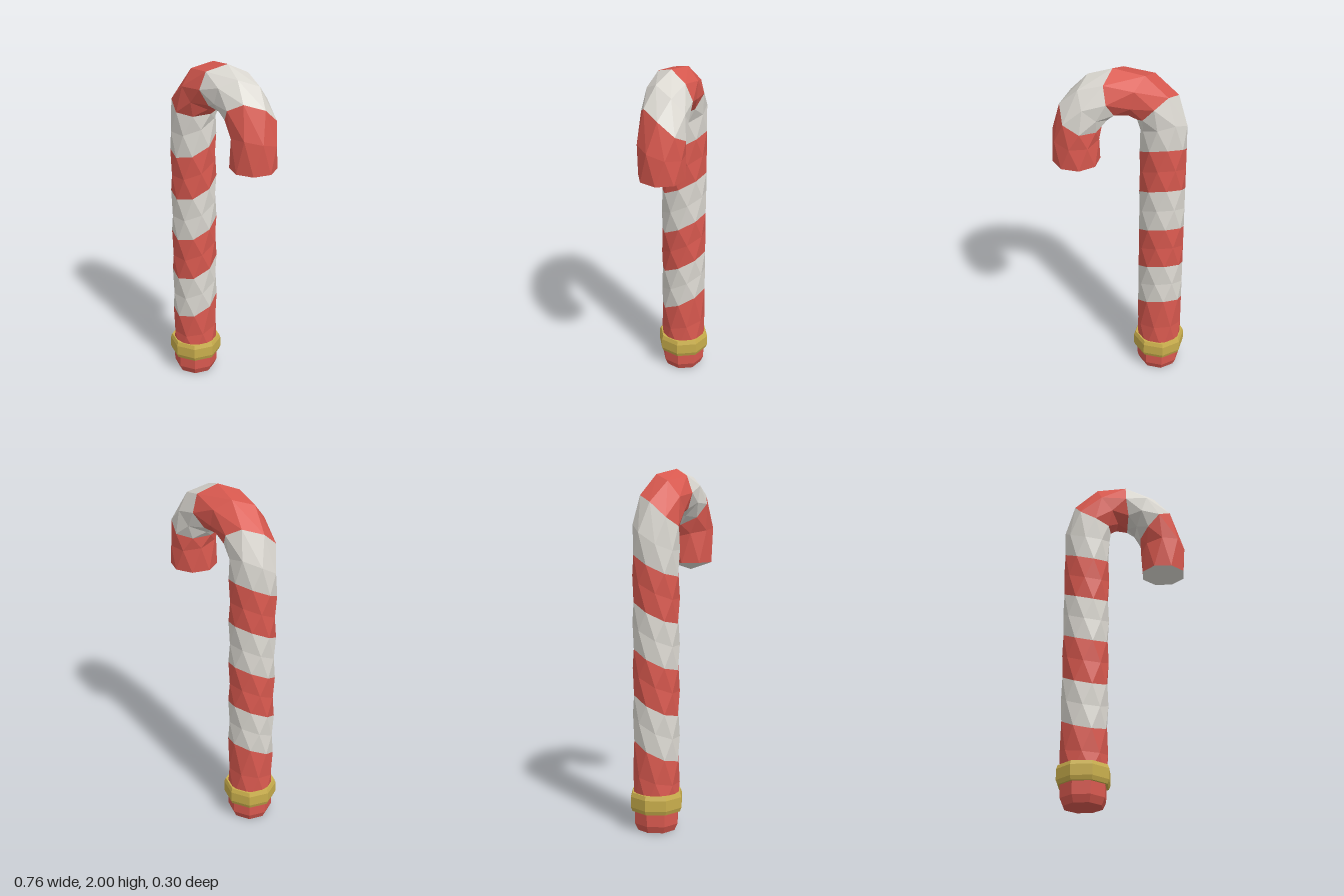
import * as THREE from 'three';

const SIDES = 8, R = 0.13, SHAFT_X = -0.228, BEND_Y = 1.632, BEND_R = 0.2375;
const BEND_LEN = Math.PI * BEND_R;
const TIP_S = BEND_Y + BEND_LEN + 0.165;
const SLANT = 0.52; // how far the stripes climb toward the back

// Point on the cane surface: s runs along the centre line, a around it
function surfacePoint(s, a, r) {
  const bend = THREE.MathUtils.clamp((s - BEND_Y) / BEND_R, 0, Math.PI);
  const out = r * Math.cos(a), z = r * Math.sin(a);
  let y = Math.min(s, BEND_Y);
  if (s > BEND_Y + BEND_LEN) y -= s - BEND_Y - BEND_LEN;
  const reach = BEND_R + out;
  return new THREE.Vector3(
    SHAFT_X + BEND_R - reach * Math.cos(bend), y + reach * Math.sin(bend), z);
}

// One ring of corners; turn = 0.5 rotates it by half a side
function ring({ s, r = R, turn = 0, slant = SLANT }) {
  return Array.from({ length: SIDES }, (_, j) => {
    const a = (j + turn) * 2 * Math.PI / SIDES;
    return surfacePoint(s - slant * r * Math.sin(a), a, r);
  });
}

// Skin a run of rings with flat triangles
function skin(specs) {
  const pts = [];
  for (let i = 0; i < specs.length - 1; i++) {
    const a = ring(specs[i]), b = ring(specs[i + 1]);
    const fromTurned = (specs[i].turn || 0) > (specs[i + 1].turn || 0);
    for (let j = 0; j < SIDES; j++) {
      const k = (j + 1) % SIDES;
      if (fromTurned) pts.push(a[j], a[k], b[k], a[j], b[k], b[j]);
      else pts.push(a[j], a[k], b[j], a[k], b[k], b[j]);
    }
  }
  const geo = new THREE.BufferGeometry().setFromPoints(pts);
  geo.computeVertexNormals();
  return geo;
}

function material(name, color) {
  const m = new THREE.MeshStandardMaterial({ color, flatShading: true });
  m.name = name;
  return m;
}

export function createModel() {
  const group = new THREE.Group();
  group.name = 'candyCane';
  const red = material('red', 0xd9594f);
  const white = material('white', 0xdbd8d1);
  const gold = material('gold', 0xc9ae4c);
  const add = (name, geo, mat) => {
    const mesh = new THREE.Mesh(geo, mat);
    mesh.name = name;
    group.add(mesh);
    return mesh;
  };

  // Stripe edges along the centre line
  const edges = [0.465, 0.721, 0.977, 1.233, 1.489, 1.76, 2.03, 2.257];

  // Red foot with a chamfered bottom
  add('foot', skin([
    { s: 0, r: 0.11, slant: 0 },
    { s: 0.04, r: 0.128, slant: 0 },
    { s: 0.16, slant: 0 },
    { s: 0.3, turn: 0.5, slant: SLANT / 2 },
    { s: edges[0] },
  ]), red);
  const sole = add('sole', new THREE.CircleGeometry(0.11, SIDES), red);
  sole.rotation.x = Math.PI / 2;
  sole.position.x = SHAFT_X;

  // Alternating slanted stripes up the shaft and over the hook
  for (let i = 0; i < edges.length - 1; i++) {
    add('stripe' + (i + 1), skin([
      { s: edges[i] },
      { s: (edges[i] + edges[i + 1]) / 2, turn: 0.5 },
      { s: edges[i + 1] },
    ]), i % 2 ? red : white);
  }

  // Red end of the hook with a shallow white point
  add('hookEnd', skin([
    { s: edges[edges.length - 1] },
    { s: 2.385, turn: 0.5, slant: SLANT / 2 },
    { s: TIP_S, slant: 0 },
  ]), red);
  const tip = add('hookTip', new THREE.ConeGeometry(R, 0.045, SIDES, 1, true), white);
  tip.rotation.x = Math.PI;
  tip.position.set(SHAFT_X + 2 * BEND_R, BEND_Y - 0.165 - 0.0225, 0);

  // Gold collar around the foot
  const profile = [[0.12, 0.112], [0.143, 0.112], [0.152, 0.135], [0.152, 0.195],
    [0.143, 0.218], [0.12, 0.218]].map(([x, y]) => new THREE.Vector2(x, y));
  const collar = add('collar', new THREE.LatheGeometry(profile, SIDES), gold);
  collar.position.x = SHAFT_X;

  return group;
}
